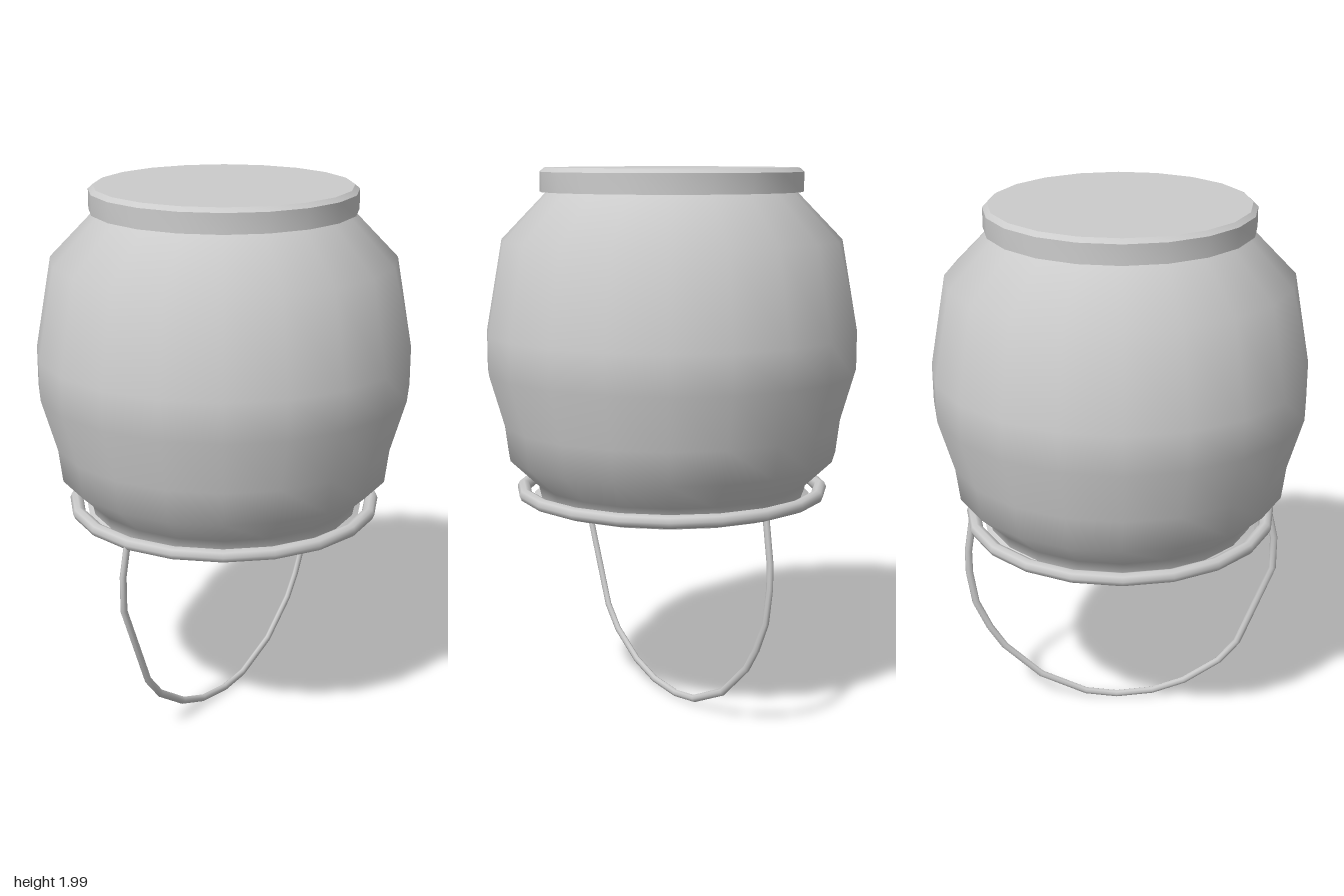
import * as THREE from 'three';
import { toCreasedNormals } from 'three/addons/utils/BufferGeometryUtils.js';

const SIDES = 20;

export function createModel() {
  const model = new THREE.Group();
  const material = new THREE.MeshStandardMaterial({ color: 0xcccccc });

  const add = (name, geometry) => {
    const mesh = new THREE.Mesh(geometry, material);
    mesh.name = name;
    model.add(mesh);
    return mesh;
  };
  const lathe = (profile) =>
    new THREE.LatheGeometry(profile.map(([r, y]) => new THREE.Vector2(r, y)), SIDES);

  // Bulging pot wall, resting upside down: mouth below, base above
  const wall = [
    [0.49, 0.81], [0.5, 0.86], [0.605, 0.96], [0.62, 1.08],
    [0.675, 1.27], [0.675, 1.41], [0.615, 1.74], [0.44, 1.92],
  ];
  add('potWall', lathe(wall));

  // Hollow inside, running from the base down to the mouth
  const inside = wall.slice(1).reverse().map(([r, y]) => [r - 0.025, y - 0.005]);
  add('potInside', lathe([[0, 1.915], ...inside, [0.47, 0.8]]));

  // Lip around the mouth
  add('mouthLip', toCreasedNormals(lathe([
    [0.47, 0.81], [0.48, 0.79], [0.505, 0.79], [0.51, 0.805], [0.49, 0.82],
  ]), 0.6));

  // Base: band with a chamfered edge and a flat disc
  add('base', toCreasedNormals(lathe([
    [0.43, 1.91], [0.474, 1.91], [0.474, 1.98], [0.457, 1.995], [0, 2],
  ]), 0.5));

  // Loose ring around the mouth
  const ring = add('handleRing', new THREE.TorusGeometry(0.55, 0.024, 8, SIDES));
  ring.rotation.x = Math.PI / 2;
  ring.position.y = 0.828;

  // Wire handle hanging from the ring
  const path = [
    [-0.555, 0.82], [-0.58, 0.71], [-0.58, 0.58], [-0.455, 0.255], [-0.385, 0.17],
    [-0.25, 0.08], [-0.125, 0.035], [0.015, 0.02], [0.135, 0.035], [0.31, 0.115],
    [0.45, 0.245], [0.505, 0.33], [0.555, 0.44], [0.575, 0.57], [0.575, 0.66], [0.55, 0.82],
  ].map(([x, y]) => new THREE.Vector3(x, y, 0));
  const curve = new THREE.CatmullRomCurve3(path);
  curve.getUtoTmapping = (u) => u; // one tube section per bend
  const handle = add('handle', new THREE.TubeGeometry(curve, path.length - 1, 0.014, 8));
  handle.scale.z = 0.75;
  handle.position.z = -0.008;

  return model;
}
